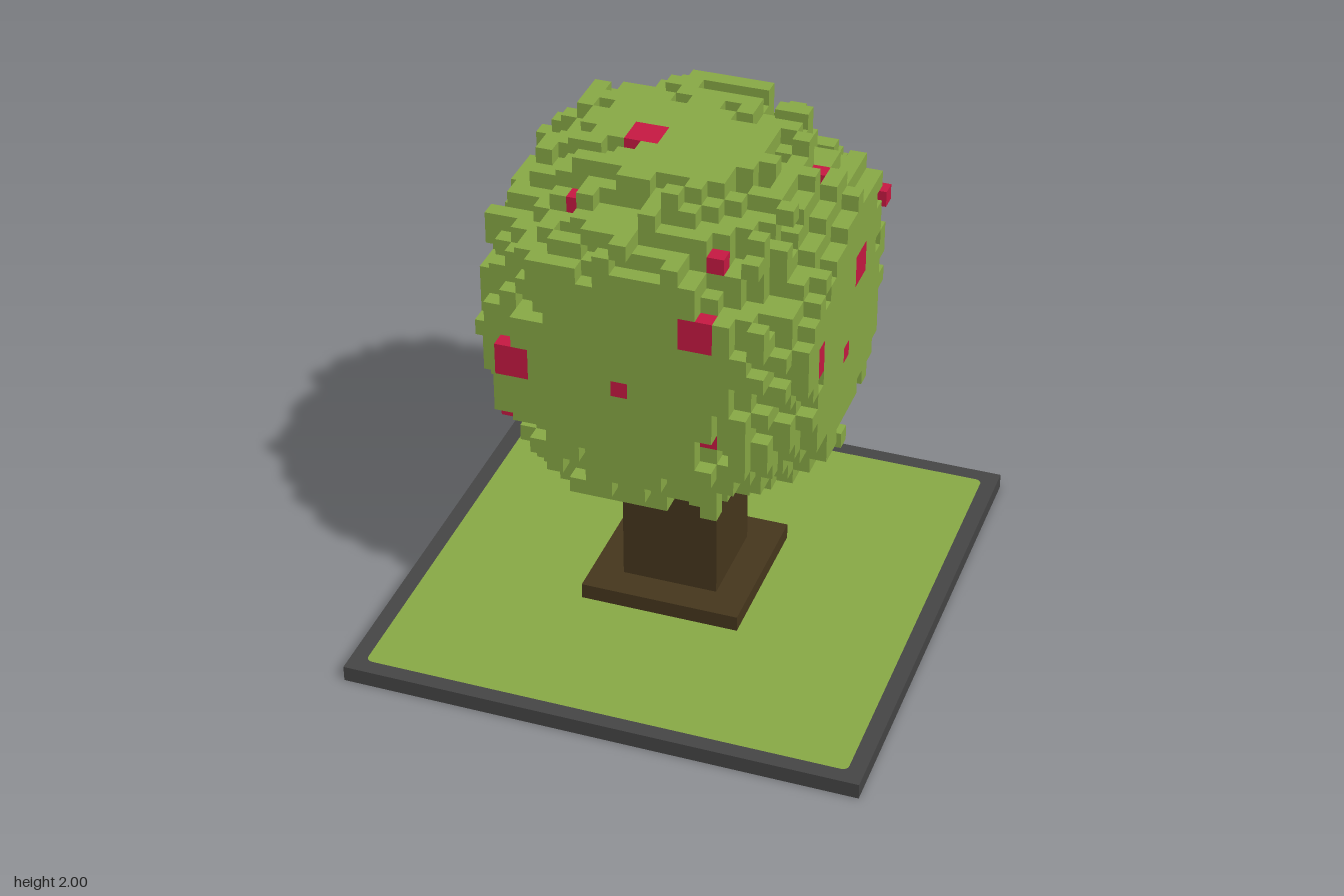
import * as THREE from 'three';

const U = 1 / 16; // voxel size
const mat = (name, color) => {
  const m = new THREE.MeshStandardMaterial({ color });
  m.name = name;
  return m;
};

// Repeatable noise from 0 to 1 for a cell
function hash(x, y, z) {
  let h = Math.imul(x + 101, 374761393) ^ Math.imul(y + 57, 668265263) ^ Math.imul(z + 211, 1274126177);
  h = Math.imul(h ^ (h >>> 13), 1103515245);
  h = Math.imul(h ^ (h >>> 15), 2246822519);
  return ((h ^ (h >>> 16)) >>> 0) / 4294967296;
}

// Ragged ball of voxels cut off by a cube of 20 voxels
function leafVoxels() {
  const cells = new Map();
  for (let x = -10; x < 10; x++)
    for (let y = 12; y < 32; y++)
      for (let z = -10; z < 10; z++) {
        const r = Math.hypot(x + 0.5, y - 20.6, z + 0.5);
        const rough = 0.5 * hash(x >> 1, y >> 1, z >> 1) + 0.5 * hash(x, y, z);
        if (r + (rough - 0.5) * 2.5 < 11.85) cells.set([x, y, z].join(), 'leaf');
      }
  return cells;
}

// Outermost voxel along an axis becomes fruit; a and b are the other two coordinates
function paint(cells, axis, sign, a, b) {
  const low = axis === 1 ? 12 : -10;
  for (let i = 0; i < 20; i++) {
    const p = [a, b];
    p.splice(axis, 0, sign > 0 ? low + 19 - i : low + i);
    if (cells.has(p.join())) {
      cells.set(p.join(), 'fruit');
      return;
    }
  }
}

// Exposed faces of all cells of one kind
function voxelGeometry(cells, kind) {
  const pos = [], nor = [], idx = [];
  for (const [key, k] of cells) {
    if (k !== kind) continue;
    const c = key.split(',').map(Number);
    for (let axis = 0; axis < 3; axis++)
      for (const s of [-1, 1]) {
        const next = [...c];
        next[axis] += s;
        if (cells.has(next.join())) continue;
        const u = (axis + 1) % 3, v = (axis + 2) % 3, base = pos.length / 3;
        for (const [i, j] of [[0, 0], [1, 0], [1, 1], [0, 1]]) {
          const p = [...c], n = [0, 0, 0];
          if (s > 0) p[axis] += 1;
          p[u] += i;
          p[v] += j;
          n[axis] = s;
          pos.push(p[0] * U, p[1] * U, p[2] * U);
          nor.push(...n);
        }
        if (s > 0) idx.push(base, base + 1, base + 2, base, base + 2, base + 3);
        else idx.push(base, base + 2, base + 1, base, base + 3, base + 2);
      }
  }
  const g = new THREE.BufferGeometry();
  g.setAttribute('position', new THREE.Float32BufferAttribute(pos, 3));
  g.setAttribute('normal', new THREE.Float32BufferAttribute(nor, 3));
  g.setIndex(idx);
  return g;
}

// Square with rounded corners, for the lawn and the hole of its frame
function roundedSquare(PathType, h, r) {
  const s = new PathType();
  s.moveTo(h - r, -h);
  s.absarc(h - r, -h + r, r, -Math.PI / 2, 0);
  s.absarc(h - r, h - r, r, 0, Math.PI / 2);
  s.absarc(-h + r, h - r, r, Math.PI / 2, Math.PI);
  s.absarc(-h + r, -h + r, r, Math.PI, Math.PI * 1.5);
  s.closePath();
  return s;
}

export function createModel() {
  const group = new THREE.Group();
  group.name = 'blockTree';
  const green = mat('leafGreen', 0x8aab46);
  const red = mat('fruitRed', 0xc91943);
  const brown = mat('barkBrown', 0x47371d);
  const grey = mat('frameGrey', 0x464646);
  const add = (name, geo, m) => {
    const mesh = new THREE.Mesh(geo, m);
    mesh.name = name;
    group.add(mesh);
    return mesh;
  };

  // Ground slab: grey frame around a lawn
  const outer = new THREE.Shape().moveTo(-1, -1).lineTo(1, -1).lineTo(1, 1).lineTo(-1, 1).closePath();
  outer.holes.push(roundedSquare(THREE.Path, 0.9375, 0.025));
  const opts = { depth: U, bevelEnabled: false, curveSegments: 4 };
  add('groundFrame', new THREE.ExtrudeGeometry(outer, opts).rotateX(-Math.PI / 2), grey);
  add('lawn', new THREE.ExtrudeGeometry(roundedSquare(THREE.Shape, 0.9375, 0.025), opts).rotateX(-Math.PI / 2), green);

  // Trunk and its foot
  add('trunkFoot', new THREE.BoxGeometry(0.625, U, 0.625), brown).position.y = 1.5 * U;
  add('trunk', new THREE.BoxGeometry(0.375, 11.2 * U, 0.375), brown).position.y = 6.6 * U;

  // Crown, with fruit on each side as [a, b, width, height]
  const cells = leafVoxels();
  const fruitOn = (axis, sign, spots) => {
    for (const [a, b, w = 1, h = 1] of spots)
      for (let i = 0; i < w; i++) for (let j = 0; j < h; j++) paint(cells, axis, sign, a + i, b + j);
  };
  // Front and back: x, y
  fruitOn(2, 1, [[-8, 20, 2, 2], [3, 24, 2, 2], [-1, 20], [4, 17], [-9, 15, 2], [-5, 29]]);
  fruitOn(2, -1, [[-4, 23, 2, 2], [4, 20], [-3, 17, 2]]);
  // Left and right: y, z
  fruitOn(0, 1, [[23, -3, 2, 2], [21, 5, 2], [19, 0], [15, 6], [15, -5]]);
  fruitOn(0, -1, [[24, 0, 2, 2], [22, -4], [20, 1], [20, 5], [17, -3, 1, 2]]);
  // Top and bottom: x, z
  fruitOn(1, 1, [[-3, 0, 2, 2]]);
  fruitOn(1, -1, [[6, -1], [-4, -6]]);
  // Fruit at the edges of the crown
  for (const p of [[-10, 24, -7], [-8, 15, -8], [8, 17, -9]]) cells.set(p.join(), 'fruit');
  // Fruit on the shoulders, open to the sky
  for (const [x, y, z] of [[9, 25, -8], [8, 26, -7], [7, 29, -2], [4, 28, 7], [-8, 29, -3], [-5, 29, -4], [1, 29, -6]]) {
    cells.set([x, y, z].join(), 'fruit');
    for (let above = y + 1; above < 32; above++) cells.delete([x, above, z].join());
  }

  add('crown', voxelGeometry(cells, 'leaf'), green);
  add('fruit', voxelGeometry(cells, 'fruit'), red);
  return group;
}
